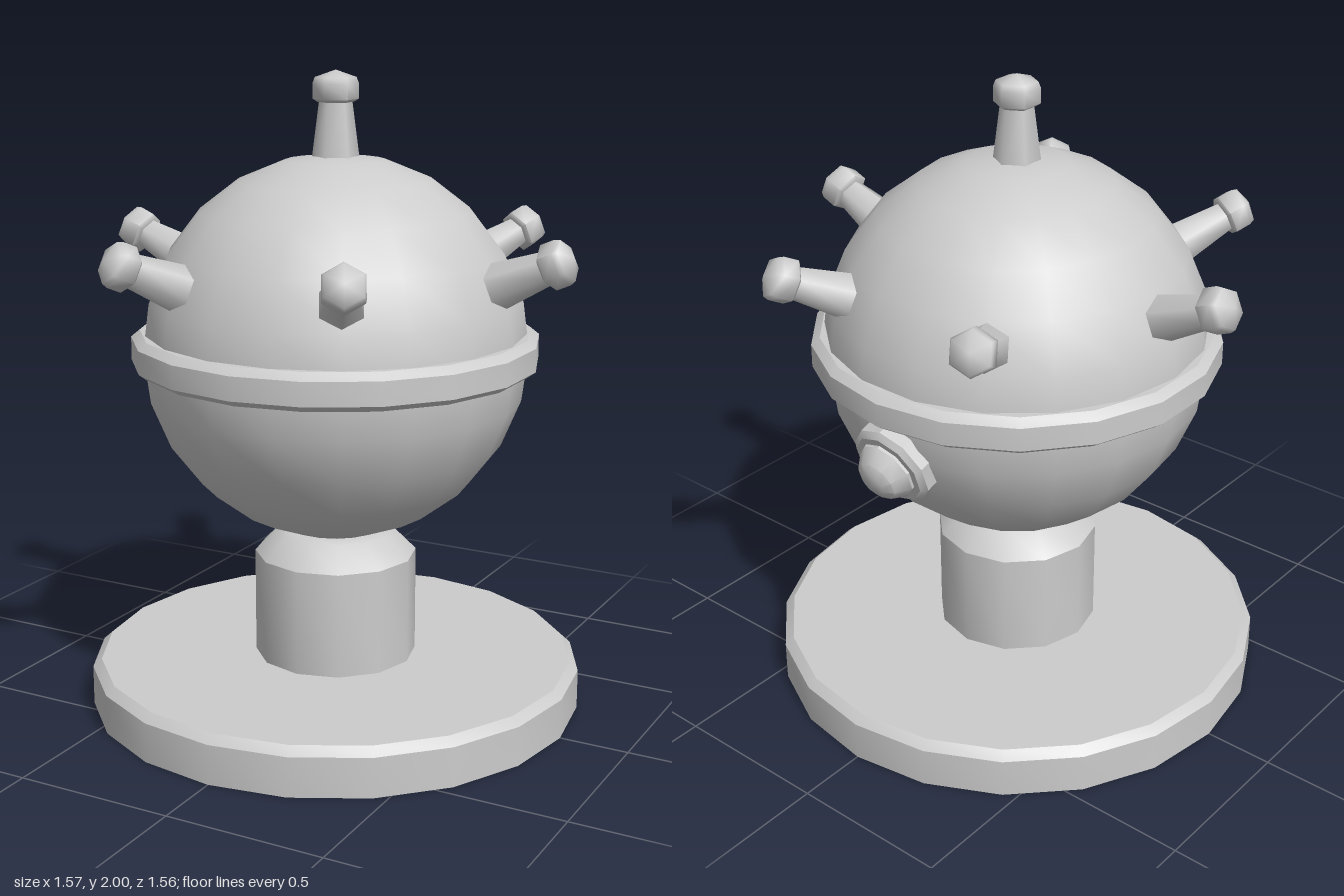
import * as THREE from 'three';
import { toCreasedNormals } from 'three/addons/utils/BufferGeometryUtils.js';

// Double sided because the base is an open shell
const grey = new THREE.MeshStandardMaterial({ color: 0xcccccc, side: THREE.DoubleSide });
grey.name = 'plain grey';

const CENTRE_Y = 1.15;
const RADIUS = 0.6;

function mesh(name, geometry) {
  const m = new THREE.Mesh(geometry, grey);
  m.name = name;
  return m;
}

// Turned part from [radius, height] pairs; angles above the crease stay sharp
function turned(name, profile, sides, crease = 0.55) {
  const points = profile.map(([r, y]) => new THREE.Vector2(r, y));
  return mesh(name, toCreasedNormals(new THREE.LatheGeometry(points, sides), crease));
}

// Hexagonal horn, measured outward along y from the ball centre
function createHorn(name) {
  const horn = new THREE.Group();
  horn.name = name;
  const shaft = mesh('hornShaft', new THREE.CylinderGeometry(0.05, 0.077, 0.21, 6));
  shaft.position.y = 0.655;
  const cap = turned('hornCap', [
    [0, 0.754], [0.055, 0.754], [0.07, 0.763], [0.07, 0.81], [0.063, 0.828], [0, 0.85],
  ], 6, 1.1);
  horn.add(shaft, cap);
  horn.position.y = CENTRE_Y;
  return horn;
}

export function createModel() {
  const model = new THREE.Group();
  model.name = 'hornedBallOnStand';

  // Stand: hollow base, open underneath, and a solid pedestal
  model.add(turned('base', [
    [0.782, 0], [0.782, 0.125], [0.754, 0.15], [0, 0.15],
  ], 20));
  model.add(turned('pedestal', [
    [0.257, 0.15], [0.257, 0.485], [0.185, 0.557], [0.16, 0.566], [0, 0.566],
  ], 12));

  // Ball and its belt
  const ball = mesh('ball', new THREE.SphereGeometry(RADIUS, 18, 12));
  ball.position.y = CENTRE_Y;
  model.add(ball);
  model.add(turned('belt', [
    [0.55, 1.092], [0.608, 1.092], [0.635, 1.112], [0.635, 1.185], [0.608, 1.207], [0.55, 1.207],
  ], 18));

  // One horn on top, six leaning outward around the upper half
  model.add(createHorn('topHorn'));
  for (let i = 0; i < 6; i++) {
    const horn = createHorn('sideHorn');
    horn.rotation.set(THREE.MathUtils.degToRad(66.5), Math.PI / 2 + (i * Math.PI) / 3, 0, 'YXZ');
    model.add(horn);
  }

  // Plug low on the back
  const plug = new THREE.Group();
  plug.name = 'backPlug';
  plug.add(turned('plugPlate', [
    [0, 0.57], [0.138, 0.57], [0.138, 0.612], [0.12, 0.628], [0, 0.628],
  ], 10));
  plug.add(turned('plugDome', [
    [0.098, 0.62], [0.098, 0.637], [0.068, 0.682], [0.04, 0.697], [0, 0.706],
  ], 10));
  plug.position.y = CENTRE_Y;
  plug.rotation.x = -THREE.MathUtils.degToRad(108.5);
  model.add(plug);

  return model;
}
